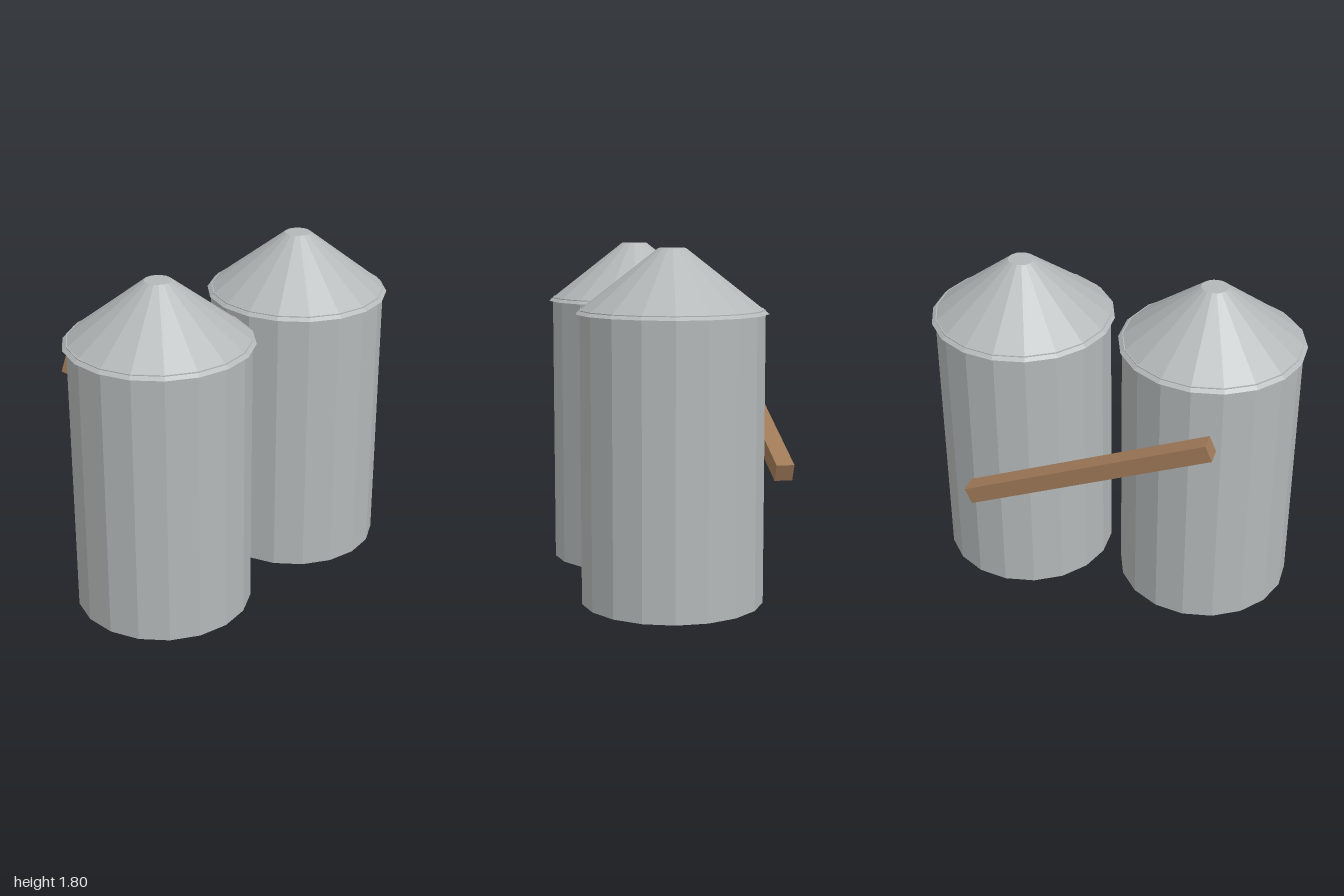
import * as THREE from 'three';

export function createModel() {
  const group = new THREE.Group();
  const metal = new THREE.MeshStandardMaterial({ color: 0xb4b8b8 });
  metal.name = 'galvanised grey';
  const timber = new THREE.MeshStandardMaterial({ color: 0xa07a58 });
  timber.name = 'timber brown';
  metal.flatShading = timber.flatShading = true;

  const SIDES = 18;
  const BODY_HEIGHT = 1.5;
  const EAVE_Y = 1.48; // roof skirt overlaps the top of the wall
  const ROOF_HEIGHT = 0.325;

  const add = (parent, name, geometry, material, x, y, z) => {
    const mesh = new THREE.Mesh(geometry, material);
    mesh.name = name;
    mesh.position.set(x, y, z);
    parent.add(mesh);
    return mesh;
  };

  // Two identical silos: faceted wall and truncated conical roof
  const wallGeometry = new THREE.CylinderGeometry(0.47, 0.47, BODY_HEIGHT, SIDES);
  const roofGeometry = new THREE.CylinderGeometry(0.07, 0.49, ROOF_HEIGHT, SIDES);
  for (const side of [-1, 1]) {
    const silo = new THREE.Group();
    silo.name = side > 0 ? 'leftSilo' : 'rightSilo';
    silo.position.set(side * 0.516, 0, 0.055);
    add(silo, 'wall', wallGeometry, metal, 0, BODY_HEIGHT / 2, 0);
    add(silo, 'roof', roofGeometry, metal, 0, EAVE_Y + ROOF_HEIGHT / 2, 0);
    group.add(silo);
  }

  // Sloping chute behind the silos
  const chute = add(group, 'chute', new THREE.BoxGeometry(1.406, 0.093, 0.094), timber, 0, 0.939, -0.503);
  chute.rotation.z = -0.4;

  return group;
}
